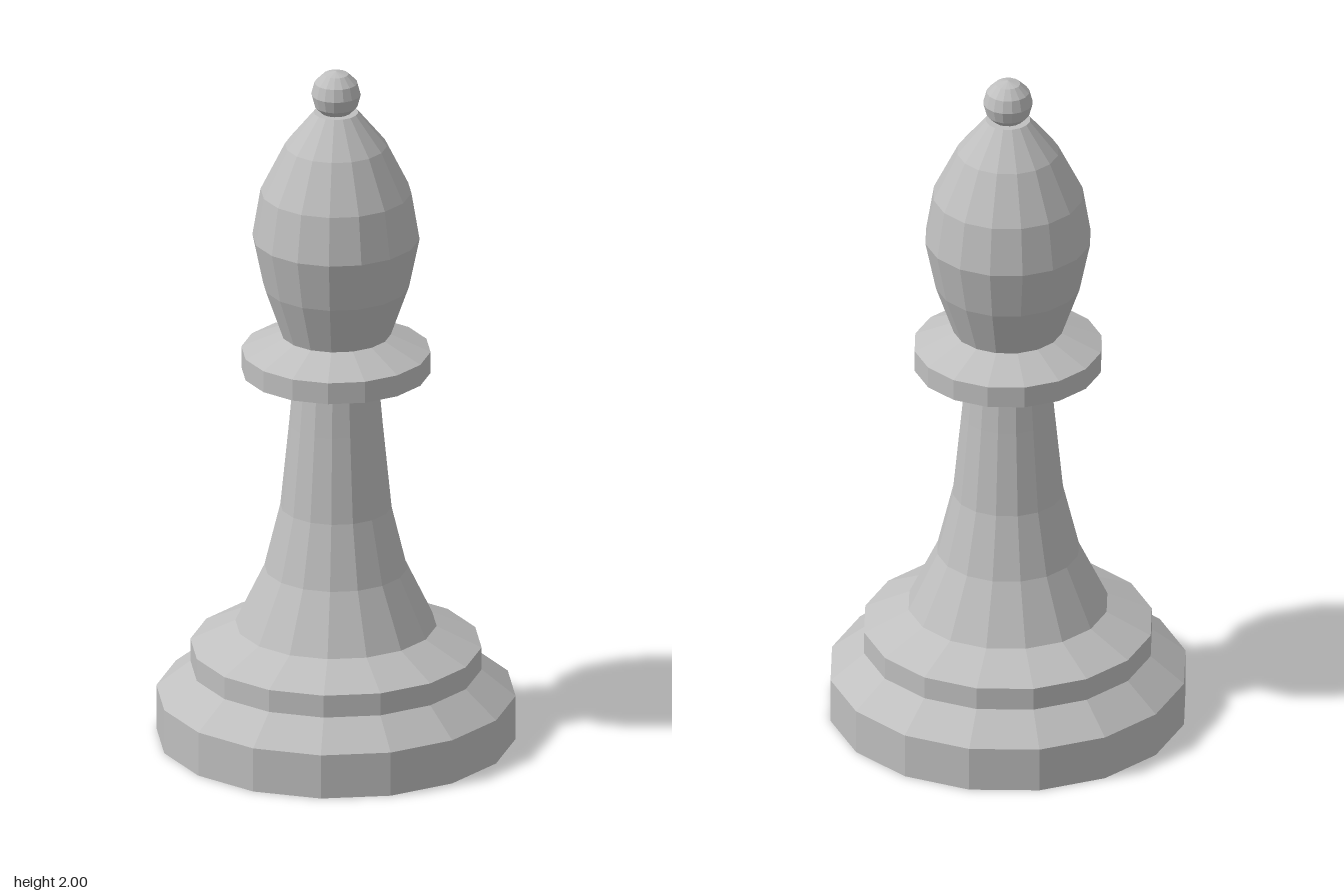
import * as THREE from 'three';

const SIDES = 16;

export function createModel() {
  const model = new THREE.Group();
  model.name = 'bishopPiece';
  const grey = new THREE.MeshStandardMaterial({ color: 0xbfbfbf, flatShading: true });
  grey.name = 'light grey';

  // Faceted turned part from [radius, height] pairs, bottom to top
  function turned(name, profile) {
    const points = profile.map(([r, y]) => new THREE.Vector2(r, y));
    const mesh = new THREE.Mesh(new THREE.LatheGeometry(points, SIDES), grey);
    mesh.name = name;
    model.add(mesh);
  }

  // Stepped foot with a closed underside
  turned('base', [[0, 0], [0.507, 0], [0.507, 0.13], [0.411, 0.207], [0.411, 0.273], [0.284, 0.334]]);

  // Flared column
  turned('stem', [[0.284, 0.334], [0.202, 0.505], [0.157, 0.69], [0.132, 0.94], [0.122, 1.053]]);

  // Ring below the head
  turned('collar', [[0.122, 1.053], [0.267, 1.097], [0.267, 1.16], [0.155, 1.21]]);

  // Egg-shaped head, closed on top
  turned('head', [[0.155, 1.21], [0.206, 1.355], [0.236, 1.5], [0.213, 1.638],
    [0.144, 1.777], [0.063, 1.876], [0, 1.876]]);

  // Small ball on the tip
  const ball = new THREE.Mesh(new THREE.SphereGeometry(0.07, SIDES, 6), grey);
  ball.name = 'finial';
  ball.position.y = 1.93;
  model.add(ball);

  return model;
}
